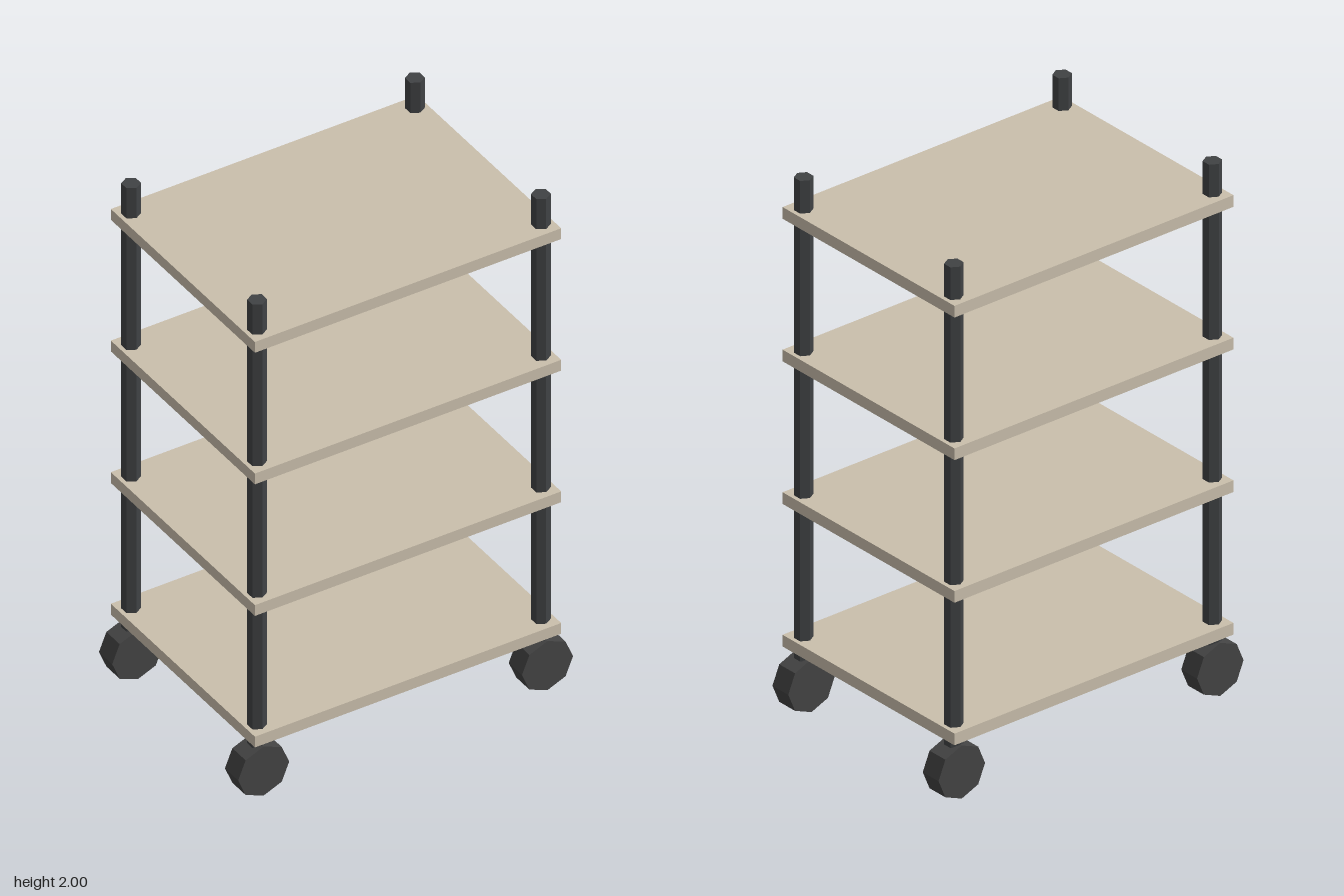
import * as THREE from 'three';

export function createModel() {
  const group = new THREE.Group();
  const material = (name, color) => {
    const m = new THREE.MeshStandardMaterial({ color, flatShading: true });
    m.name = name;
    return m;
  };
  const wood = material('pale wood', 0xcabfac);
  const metal = material('dark metal', 0x404244);
  const rubber = material('dark rubber', 0x444444);

  const add = (name, geometry, mat, x, y, z) => {
    const mesh = new THREE.Mesh(geometry, mat);
    mesh.name = name;
    mesh.position.set(x, y, z);
    group.add(mesh);
  };

  // Four evenly spaced shelves
  const shelf = new THREE.BoxGeometry(1.2, 0.044, 0.89);
  for (let i = 0; i < 4; i++) add('shelf', shelf, wood, 0, 0.244 + i * 0.537, 0);

  // Six-sided corner posts standing on eight-sided wheels
  const bottom = 0.19, top = 2;
  const post = new THREE.CylinderGeometry(0.033, 0.033, top - bottom, 6);
  const wheel = new THREE.CylinderGeometry(0.1, 0.1, 0.082, 8).rotateX(Math.PI / 2);
  for (const [xName, sx] of [['left', 1], ['right', -1]]) {
    for (const [zName, sz] of [['front', 1], ['back', -1]]) {
      const x = sx * 0.556, z = sz * 0.389;
      add(`${zName} ${xName} post`, post, metal, x, (top + bottom) / 2, z);
      add(`${zName} ${xName} wheel`, wheel, rubber, x, 0.1, z);
    }
  }
  return group;
}
